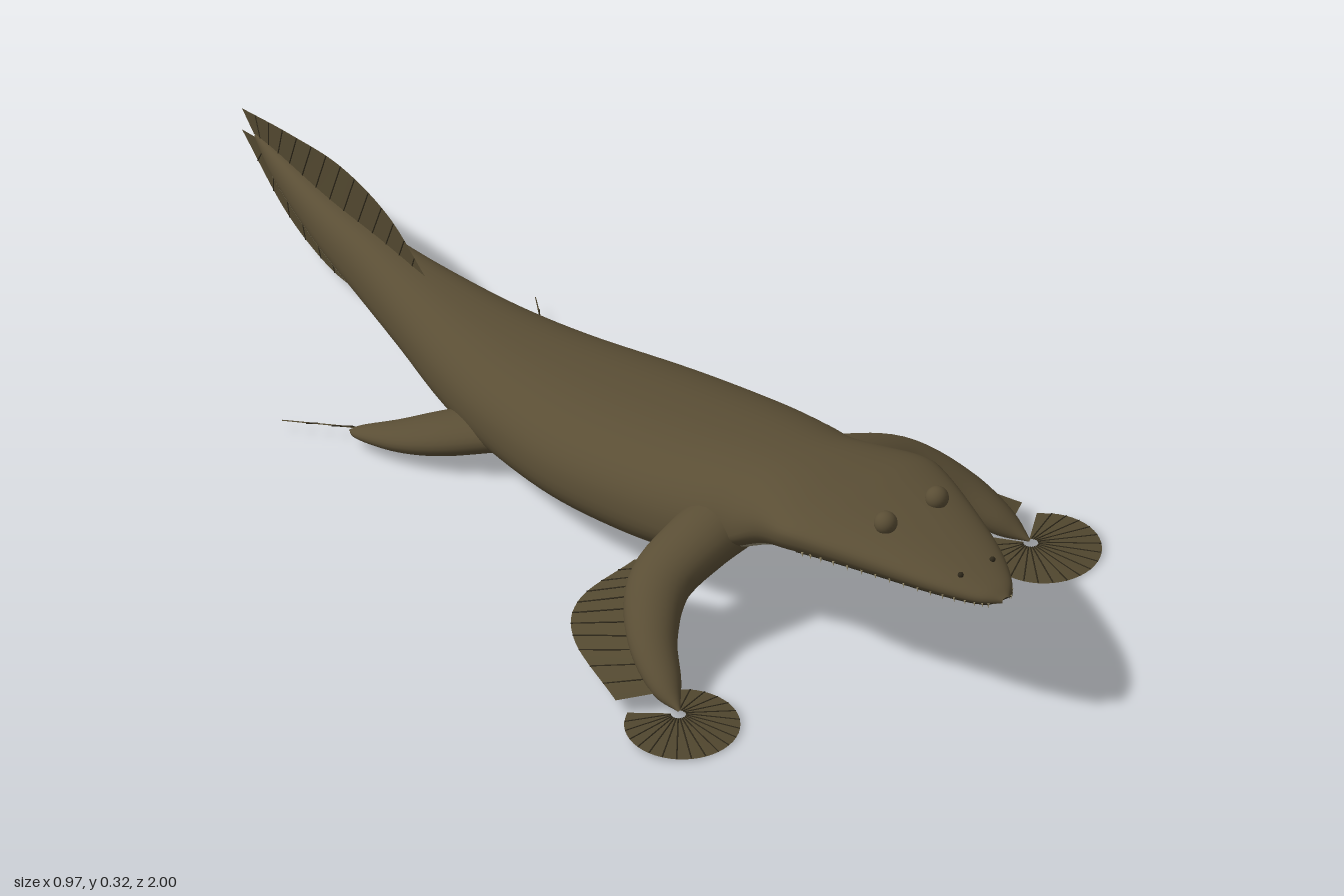
import * as THREE from 'three';
import { mergeGeometries } from 'three/addons/utils/BufferGeometryUtils.js';

const mat = (name, color, side = THREE.FrontSide) => {
  const m = new THREE.MeshStandardMaterial({ color, side });
  m.name = name;
  return m;
};
const V = (p) => new THREE.Vector3(...p);
const curve = (pts) => new THREE.CatmullRomCurve3(pts.map(V), false, 'catmullrom');

// Closed skin from a rule point(t, angle); the strips facing down get material 1
function loft(point, rows, sides, bellyFrom, bellyTo) {
  const pos = [], index = [];
  for (let i = 0; i <= rows; i++)
    for (let j = 0; j < sides; j++) pos.push(...point(i / rows, (j / sides) * Math.PI * 2));
  const g = new THREE.BufferGeometry();
  for (let j = 0; j < sides; j++) {
    const k = (j + 1) % sides, mid = ((j + 0.5) / sides) * 360, start = index.length;
    for (let i = 0; i < rows; i++) {
      const a = i * sides + j, b = a + sides, c = i * sides + k, d = c + sides;
      index.push(a, b, c, b, d, c);
    }
    g.addGroup(start, index.length - start, mid > bellyFrom && mid < bellyTo ? 1 : 0);
  }
  g.setAttribute('position', new THREE.Float32BufferAttribute(pos, 3));
  g.setIndex(index);
  g.computeVertexNormals();
  return g;
}

// Body stations: z, centre x, half width, top y, widest y, bottom y
const STATIONS = [
  [1.0, 0, 0.008, 0.248, 0.243, 0.238], [0.97, 0, 0.04, 0.262, 0.247, 0.232],
  [0.9, 0, 0.078, 0.28, 0.255, 0.228], [0.8, 0, 0.115, 0.297, 0.262, 0.222],
  [0.7, 0, 0.148, 0.305, 0.265, 0.213], [0.64, 0, 0.16, 0.304, 0.26, 0.2],
  [0.57, 0, 0.15, 0.301, 0.235, 0.175], [0.5, 0, 0.152, 0.293, 0.19, 0.14],
  [0.42, 0, 0.17, 0.282, 0.16, 0.095], [0.3, 0, 0.18, 0.26, 0.145, 0.055],
  [0.1, 0, 0.175, 0.225, 0.12, 0.032], [-0.1, 0, 0.14, 0.198, 0.105, 0.022],
  [-0.25, 0.01, 0.108, 0.183, 0.1, 0.025], [-0.4, 0.03, 0.077, 0.172, 0.1, 0.04],
  [-0.55, 0.05, 0.05, 0.168, 0.105, 0.055], [-0.7, 0.077, 0.034, 0.16, 0.115, 0.075],
  [-0.85, 0.115, 0.018, 0.15, 0.125, 0.1], [-0.95, 0.15, 0.003, 0.13, 0.125, 0.12],
];
const plan = curve(STATIONS.map(([z, cx, w]) => [cx, w, z]));
const profile = curve(STATIONS.map(([, , , top, mid, bot]) => [top, mid, bot]));
function bodyPoint(t, a) {
  const p = plan.getPoint(t), q = profile.getPoint(t);
  const c = Math.cos(a), s = Math.sin(a);
  const x = Math.sign(c) * Math.abs(c) ** 0.85, y = Math.abs(s) ** 0.9;
  return [p.x + p.y * x, s > 0 ? q.y + (q.x - q.y) * y : q.y - (q.y - q.z) * y, p.z];
}

export function createModel() {
  const model = new THREE.Group();
  const skin = mat('olive skin', 0x5a4e35);
  const belly = mat('pale belly', 0x968d74);
  const finSkin = mat('fin membrane', 0x51472f, THREE.DoubleSide);
  const rayDark = mat('dark fin ray', 0x2e281a);
  const toothMat = mat('tooth', 0xa89c78);

  const add = (name, geometry, material, parent = model) => {
    const m = new THREE.Mesh(geometry, material);
    m.name = name;
    parent.add(m);
    return m;
  };

  // Tapered limb: path points and radii, flattened by the factor flat
  function limb(name, path, radii, flat) {
    const line = curve(path), rad = curve(radii.map((r, i) => [r, i, 0]));
    const up = new THREE.Vector3(0, 1, 0);
    add(name, loft((t, a) => {
      const c = line.getPoint(t), T = line.getTangent(t), r = rad.getPoint(t).x;
      const side = T.clone().cross(up).normalize(), top = side.clone().cross(T);
      return c.addScaledVector(side, r * Math.cos(a))
        .addScaledVector(top, r * flat * Math.sin(a)).toArray();
    }, 28, 24, 225, 315), [skin, belly]);
  }

  // Membrane between two edges, stiffened by thin rays
  function fin(name, innerPts, outerPts, rays) {
    const inner = curve(innerPts), outer = curve(outerPts), n = 40;
    const pos = [], index = [], bars = [];
    for (let i = 0; i <= n; i++) {
      pos.push(...inner.getPoint(i / n).toArray(), ...outer.getPoint(i / n).toArray());
      if (i < n) index.push(2 * i, 2 * i + 1, 2 * i + 2, 2 * i + 1, 2 * i + 3, 2 * i + 2);
    }
    const g = new THREE.BufferGeometry();
    g.setAttribute('position', new THREE.Float32BufferAttribute(pos, 3));
    g.setIndex(index);
    g.computeVertexNormals();
    const group = new THREE.Group();
    group.name = name;
    model.add(group);
    add(name + 'Membrane', g, finSkin, group);
    for (let i = 1; i < rays; i++) {
      const line = new THREE.LineCurve3(inner.getPoint(i / rays), outer.getPoint(i / rays));
      bars.push(new THREE.TubeGeometry(line, 1, 0.0013, 5));
    }
    add(name + 'Rays', mergeGeometries(bars), rayDark, group);
  }

  // Head, trunk and tail in one skin
  add('body', loft(bodyPoint, 120, 48, 212, 328), [skin, belly]);

  // Mouth line around the snout, with a row of small teeth
  const lip = [];
  for (let i = -20; i <= 20; i++) {
    const a = i < 0 ? Math.PI + 0.42 : -0.42;
    lip.push(bodyPoint(0.02 + (Math.abs(i) / 20) * 0.25, a));
  }
  const lipLine = curve(lip);
  add('mouthLine', new THREE.TubeGeometry(lipLine, 80, 0.0025, 6), rayDark);
  const teeth = [];
  for (let i = 1; i < 36; i++) {
    const p = lipLine.getPoint(i / 36);
    teeth.push(new THREE.ConeGeometry(0.0022, 0.009, 5).rotateX(Math.PI)
      .translate(p.x * 1.015, p.y - 0.003, p.z + 0.001));
  }
  add('teeth', mergeGeometries(teeth), toothMat);

  // Tail fins follow the bend of the tail and end in a small fork
  fin('upperTailFin',
    [[0.025, 0.165, -0.41], [0.05, 0.155, -0.55], [0.077, 0.14, -0.7], [0.115, 0.13, -0.85], [0.15, 0.127, -0.955]],
    [[0.025, 0.172, -0.41], [0.045, 0.225, -0.52], [0.07, 0.24, -0.66], [0.105, 0.21, -0.82], [0.165, 0.147, -1]], 14);
  fin('lowerTailFin',
    [[0.045, 0.065, -0.52], [0.06, 0.085, -0.6], [0.085, 0.1, -0.73], [0.115, 0.115, -0.85], [0.15, 0.122, -0.955]],
    [[0.045, 0.052, -0.52], [0.06, 0.035, -0.6], [0.08, 0.028, -0.7], [0.115, 0.05, -0.84], [0.165, 0.107, -1]], 11);

  for (const s of [1, -1]) {
    const side = s > 0 ? 'left' : 'right';
    const m = (pts) => pts.map(([x, y, z]) => [s * x, y, z]);

    // Eye bump and nostril
    const eye = add(side + 'Eye', new THREE.SphereGeometry(0.019, 24, 16), skin);
    eye.position.set(s * 0.055, 0.306, 0.775);
    const nostril = add(side + 'Nostril', new THREE.SphereGeometry(0.005, 10, 8), rayDark);
    nostril.position.set(s * 0.034, 0.272, 0.93);

    // Front limb, its trailing fin and the round fan it stands on
    limb(side + 'FrontLimb',
      m([[0.09, 0.185, 0.455], [0.17, 0.165, 0.455], [0.26, 0.13, 0.465], [0.325, 0.085, 0.52], [0.36, 0.042, 0.59], [0.375, 0.022, 0.64]]),
      [0.06, 0.058, 0.052, 0.041, 0.027, 0.002], 0.85);
    fin(side + 'FrontFin',
      m([[0.19, 0.14, 0.44], [0.27, 0.115, 0.45], [0.33, 0.075, 0.51], [0.37, 0.038, 0.6]]),
      m([[0.21, 0.1, 0.35], [0.3, 0.05, 0.32], [0.375, 0.038, 0.39], [0.435, 0.028, 0.555]]), 11);
    const hub = [], rim = [];
    for (let i = 0; i <= 16; i++) {
      const a = THREE.MathUtils.degToRad(32 + (i / 16) * 296);
      const z = 0.66 - 0.087 * Math.cos(a);
      rim.push([0.387 + 0.097 * Math.sin(a), 0.022 - (z - 0.58) * 0.12, z]);
      hub.push([0.377 + 0.012 * Math.sin(a), 0.017, 0.64 - 0.012 * Math.cos(a)]);
    }
    fin(side + 'FrontFan', m(hub), m(rim), 20);

    // Hind limb with a narrow pointed fin
    limb(side + 'HindLimb',
      m([[0.08, 0.07, -0.12], [0.14, 0.053, -0.185], [0.18, 0.04, -0.24], [0.21, 0.03, -0.3], [0.217, 0.028, -0.32]]),
      [0.055, 0.05, 0.037, 0.017, 0.001], 0.6);
    fin(side + 'HindFin',
      m([[0.13, 0.035, -0.21], [0.16, 0.028, -0.265], [0.27, 0.022, -0.42]]),
      m([[0.2, 0.03, -0.26], [0.2, 0.026, -0.31], [0.272, 0.021, -0.42]]), 7);
  }
  return model;
}
